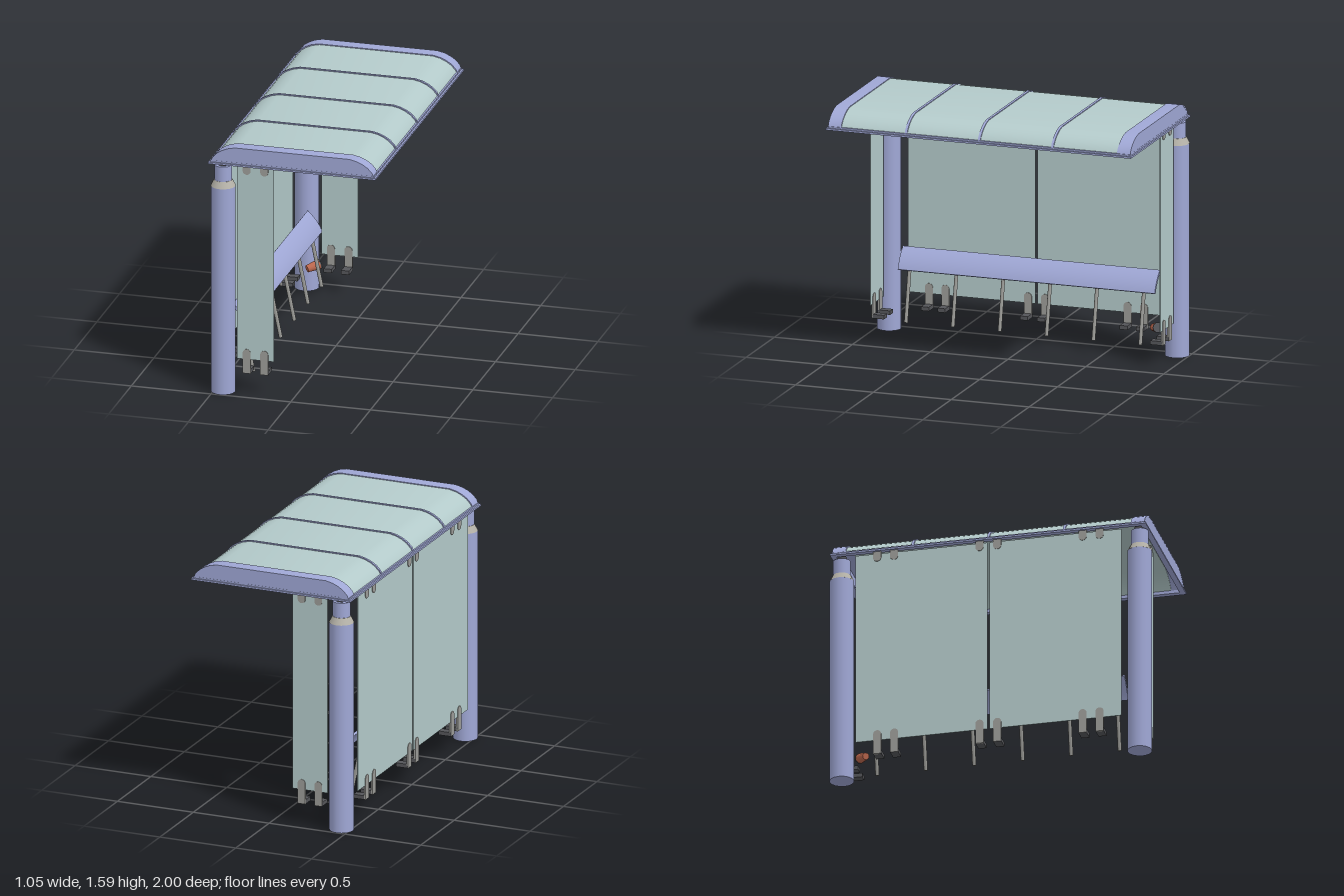
import * as THREE from 'three';
import { toCreasedNormals } from 'three/addons/utils/BufferGeometryUtils.js';

const paint = (color) => new THREE.MeshStandardMaterial({ color, side: THREE.DoubleSide });
const blue = paint(0xa0a8d6);
const glass = paint(0xb4cbcb);
const steel = paint(0x9c9c98);
const dark = paint(0x55565a);
const collarGrey = paint(0xb5b2a8);
const orange = paint(0xc06a50);

function add(parent, name, geometry, material, x = 0, y = 0, z = 0) {
  const mesh = new THREE.Mesh(geometry, material);
  mesh.name = name;
  mesh.position.set(x, y, z);
  parent.add(mesh);
  return mesh;
}

const extrude = (shape, depth) =>
  toCreasedNormals(new THREE.ExtrudeGeometry(shape, { depth, bevelEnabled: false, curveSegments: 8 }), 0.5);

// Cylinder stretched between two points
function rod(a, b, ra, rb, sides) {
  const dir = new THREE.Vector3().subVectors(b, a);
  const g = new THREE.CylinderGeometry(rb, ra, dir.length(), sides);
  g.applyQuaternion(new THREE.Quaternion().setFromUnitVectors(new THREE.Vector3(0, 1, 0), dir.clone().normalize()));
  const mid = a.clone().add(b).multiplyScalar(0.5);
  return g.translate(mid.x, mid.y, mid.z);
}

// Roof cross-section: flat top with rounded shoulders
const shoulder = [[0.51, 1.492], [0.5, 1.515], [0.473, 1.543], [0.442, 1.563], [0.405, 1.579], [0.36, 1.589]];
function archPoints(inset) {
  const right = shoulder.map(([x, y]) => new THREE.Vector2(x - inset, y - (y > 1.5 ? inset : 0)));
  const left = right.map((p) => new THREE.Vector2(-p.x, p.y)).reverse();
  return [...right, ...left];
}
function archStrip(z0, z1, inset, thickness) {
  const shape = new THREE.Shape([...archPoints(inset), ...archPoints(inset + thickness).reverse()]);
  return extrude(shape, z1 - z0).translate(0, 0, z0);
}

// Flat rectangular ring around the roof
function ring(hx, hz, border, y0, y1) {
  const rect = (P, a, b) => new P([[-a, -b], [a, -b], [a, b], [-a, b]].map(([x, y]) => new THREE.Vector2(x, y)));
  const shape = rect(THREE.Shape, hx, hz);
  shape.holes.push(rect(THREE.Path, hx - border, hz - border));
  return extrude(shape, y1 - y0).rotateX(-Math.PI / 2).translate(0, y0, 0);
}

function makeRoof() {
  const roof = new THREE.Group();
  roof.name = 'roof';
  add(roof, 'roofFrame', ring(0.525, 0.98, 0.035, 1.474, 1.485), blue);
  add(roof, 'roofFrameLip', ring(0.514, 0.97, 0.022, 1.485, 1.495), blue);
  add(roof, 'roofGlass', archStrip(-0.89, 0.89, 0.005, 0.004), glass);
  for (const z of [-0.47, 0, 0.47]) add(roof, 'roofRib', archStrip(z - 0.008, z + 0.008, 0, 0.012), blue);
  for (const s of [-1, 1]) {
    add(roof, 'roofEndBand', archStrip(Math.min(s * 0.885, s * 0.97), Math.max(s * 0.885, s * 0.97), 0, 0.006), blue);
    add(roof, 'roofEndWall', extrude(new THREE.Shape(archPoints(0.001)), 0.006), blue, 0, 0, s * 0.966 - 0.003);
  }
  return roof;
}

// Column with a tapered collar and a narrower head
function makeColumn(z) {
  const column = new THREE.Group();
  column.name = 'column';
  const cyl = (name, rTop, rBottom, y0, y1, material) =>
    add(column, name, new THREE.CylinderGeometry(rTop, rBottom, y1 - y0, 16), material, 0, (y0 + y1) / 2, 0);
  cyl('columnShaft', 0.075, 0.075, 0, 1.325, blue);
  cyl('columnCollar', 0.056, 0.076, 1.325, 1.365, collarGrey);
  cyl('columnHead', 0.054, 0.054, 1.36, 1.46, blue);
  cyl('columnNeck', 0.033, 0.033, 1.46, 1.485, dark);
  column.position.set(-0.445, 0, z);
  return column;
}

// Tab with one round end, used to grip the glass
function tab(height) {
  const r = 0.025;
  const shape = new THREE.Shape();
  shape.moveTo(-r, 0);
  shape.lineTo(r, 0);
  shape.lineTo(r, height - r);
  shape.absarc(0, height - r, r, 0, Math.PI, false);
  shape.closePath();
  return extrude(shape, 0.012).translate(0, 0, -0.006);
}

// Lower hook and upper tab for one fixing position
function makeClips(x, z, angle) {
  const clips = new THREE.Group();
  clips.name = 'glassClips';
  add(clips, 'lowerClip', tab(0.155), steel, 0, 0.13, 0);
  add(clips, 'lowerClipFoot', new THREE.BoxGeometry(0.05, 0.025, 0.08), dark, 0, 0.1425, 0.035);
  add(clips, 'upperClip', tab(0.066).rotateZ(Math.PI), steel, 0, 1.476, 0);
  clips.position.set(x, 0, z);
  clips.rotation.y = angle;
  return clips;
}

// Sloping perch rail on thin legs
function makeBench() {
  const bench = new THREE.Group();
  bench.name = 'leaningBench';
  const profile = new THREE.Shape();
  profile.moveTo(-0.412, 0.53);
  profile.quadraticCurveTo(-0.345, 0.475, -0.32, 0.405);
  profile.lineTo(-0.335, 0.398);
  profile.quadraticCurveTo(-0.36, 0.46, -0.422, 0.517);
  profile.closePath();
  add(bench, 'benchRail', extrude(profile, 1.65), blue, 0, 0, -0.825);
  for (let i = 0; i < 6; i++) {
    const z = 0.765 - i * 0.301;
    const leg = rod(new THREE.Vector3(-0.3, 0.083, z), new THREE.Vector3(-0.375, 0.45, z), 0.012, 0.012, 8);
    add(bench, 'benchLeg', leg, steel);
  }
  return bench;
}

export function createModel() {
  const shelter = new THREE.Group();
  shelter.name = 'shelter';
  shelter.add(makeRoof(), makeBench());

  for (const s of [-1, 1]) {
    shelter.add(makeColumn(s * 0.925));
    // Back and side glass
    add(shelter, 'backPanel', new THREE.BoxGeometry(0.005, 1.24, 0.818), glass, -0.505, 0.84, s * 0.416);
    add(shelter, 'sidePanel', new THREE.BoxGeometry(0.23, 1.24, 0.005), glass, -0.24, 0.84, s * 0.93);
    for (const z of [0.69, 0.585, 0.055]) shelter.add(makeClips(-0.505, s * z, Math.PI / 2));
    for (const x of [-0.295, -0.185]) shelter.add(makeClips(x, s * 0.93, s > 0 ? Math.PI : 0));
  }

  // Small tapered cup fixed beside one column
  const tip = new THREE.Vector3(-0.405, 0.17, -0.785);
  const mouth = new THREE.Vector3(-0.345, 0.188, -0.835);
  const rim = mouth.clone().add(mouth.clone().sub(tip).multiplyScalar(0.1));
  add(shelter, 'cup', rod(tip, mouth, 0.022, 0.031, 10), orange);
  add(shelter, 'cupMouth', rod(mouth, rim, 0.032, 0.032, 10), dark);
  return shelter;
}
